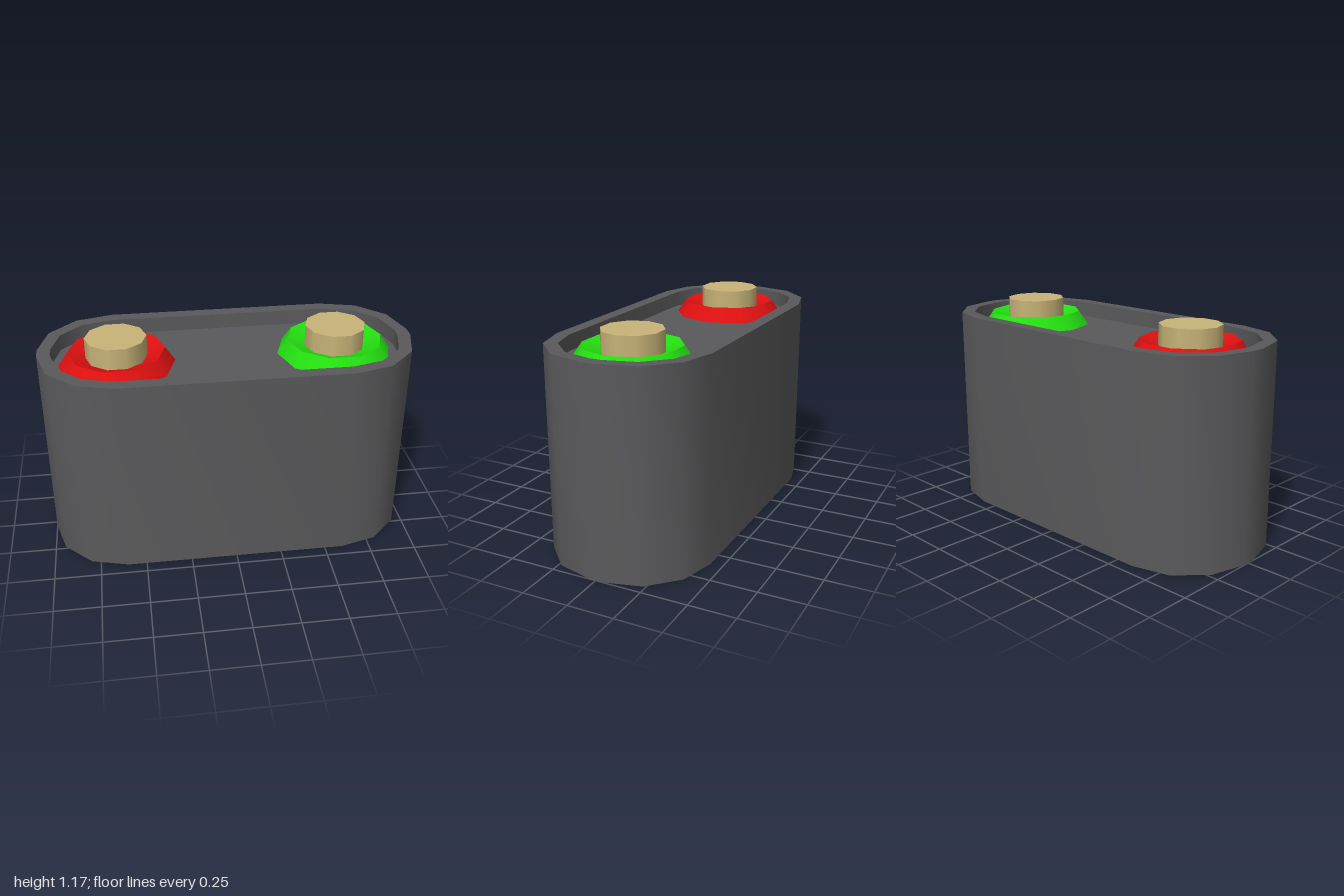
import * as THREE from 'three';
import { toCreasedNormals } from 'three/addons/utils/BufferGeometryUtils.js';

const RIM_Y = 1.105, FLOOR_Y = 1.02, PEG_TOP = 1.175, SIDES = 10;

// Rounded rectangle with three facets per corner
function roundedOutline(halfX, halfZ, radius) {
  const points = [];
  const corners = [[1, 1], [-1, 1], [-1, -1], [1, -1]];
  corners.forEach(([sx, sz], c) => {
    for (let i = 0; i <= 3; i++) {
      const a = (c + i / 3) * Math.PI / 2;
      points.push(new THREE.Vector2(
        sx * (halfX - radius) + radius * Math.cos(a),
        sz * (halfZ - radius) + radius * Math.sin(a)));
    }
  });
  return points;
}

// Upright prism from a shape, smooth round the corners and sharp at the rims
function prism(shape, bottom, height) {
  const geometry = new THREE.ExtrudeGeometry(shape, { depth: height, bevelEnabled: false });
  geometry.rotateX(-Math.PI / 2).translate(0, bottom, 0);
  return toCreasedNormals(geometry, 0.6);
}

function addMesh(parent, name, geometry, material) {
  const mesh = new THREE.Mesh(geometry, material);
  mesh.name = name;
  parent.add(mesh);
  return mesh;
}

function makeMaterial(name, color) {
  const material = new THREE.MeshStandardMaterial({ color });
  material.name = name;
  return material;
}

export function createModel() {
  const model = new THREE.Group();
  model.name = 'battery';
  const grey = makeMaterial('darkGrey', 0x5a5a5c);
  const brass = makeMaterial('brass', 0xc8b478);
  const red = makeMaterial('red', 0xdf1010);
  const green = makeMaterial('green', 0x24e010);

  // Hollow case, open at the bottom
  const outer = new THREE.Shape(roundedOutline(1, 0.435, 0.4));
  const inner = roundedOutline(0.93, 0.362, 0.33);
  outer.holes.push(new THREE.Path(inner));
  addMesh(model, 'case', prism(outer, 0, RIM_Y), grey);

  // Sunken lid
  addMesh(model, 'lid', prism(new THREE.Shape(inner), FLOOR_Y - 0.02, 0.02), grey);

  // Terminals: flared collar, dished inside, around a peg
  const ring = (r0, y0, r1, y1) => new THREE.LatheGeometry(
    [new THREE.Vector2(r0, y0), new THREE.Vector2(r1, y1)], SIDES, Math.PI / 2);
  for (const [side, x, material] of [['right', -0.587, red], ['left', 0.587, green]]) {
    const terminal = new THREE.Group();
    terminal.name = side + 'Terminal';
    terminal.position.x = x;
    addMesh(terminal, 'collarOutside', ring(0.31, FLOOR_Y, 0.257, 1.098), material);
    addMesh(terminal, 'collarDish', ring(0.257, 1.098, 0.16, 1.06), material);
    const pegHeight = PEG_TOP - FLOOR_Y;
    const peg = new THREE.CylinderGeometry(0.163, 0.163, pegHeight, SIDES, 1, false, Math.PI / 2);
    addMesh(terminal, 'peg', peg, brass).position.y = FLOOR_Y + pegHeight / 2;
    model.add(terminal);
  }
  return model;
}
